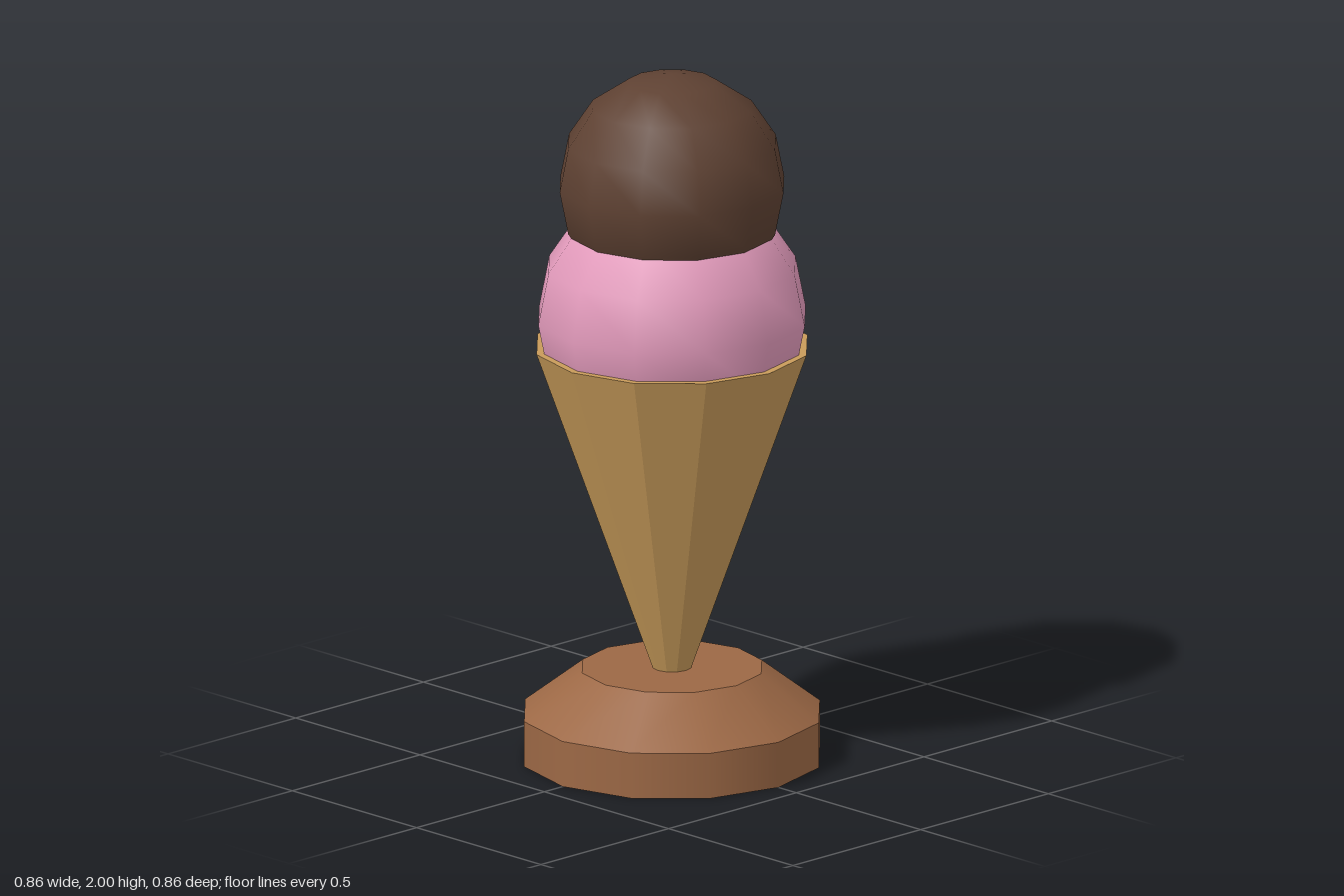
import * as THREE from 'three';

const SIDES = 12;

function material(name, color, flatShading = false) {
  const m = new THREE.MeshStandardMaterial({ color, flatShading });
  m.name = name;
  return m;
}

export function createModel() {
  const wood = material('wood brown', 0x9c6845);
  const wafer = material('wafer tan', 0xc89b5a, true);
  const strawberry = material('strawberry pink', 0xe29abb);
  const chocolate = material('chocolate brown', 0x5e4132);

  const model = new THREE.Group();
  model.name = 'iceCreamCone';

  const add = (name, geometry, mat, y) => {
    const mesh = new THREE.Mesh(geometry, mat);
    mesh.name = name;
    mesh.position.y = y;
    model.add(mesh);
  };
  // Twelve-sided tapered drum standing between heights y0 and y1
  const drum = (name, mat, r0, r1, y0, y1) =>
    add(name, new THREE.CylinderGeometry(r1, r0, y1 - y0, SIDES), mat, (y0 + y1) / 2);
  const scoop = (name, mat, r, y) =>
    add(name, new THREE.SphereGeometry(r, SIDES, 8), mat, y);

  // Stand: straight foot with a bevelled top
  drum('standFoot', wood, 0.428, 0.428, 0, 0.132);
  drum('standBevel', wood, 0.428, 0.26, 0.132, 0.262);

  // Faceted cone, its tip sunk into the stand
  drum('cone', wafer, 0.037, 0.392, 0.21, 1.205);

  // Two overlapping scoops
  scoop('lowerScoop', strawberry, 0.387, 1.29);
  scoop('upperScoop', chocolate, 0.325, 1.675);

  return model;
}
